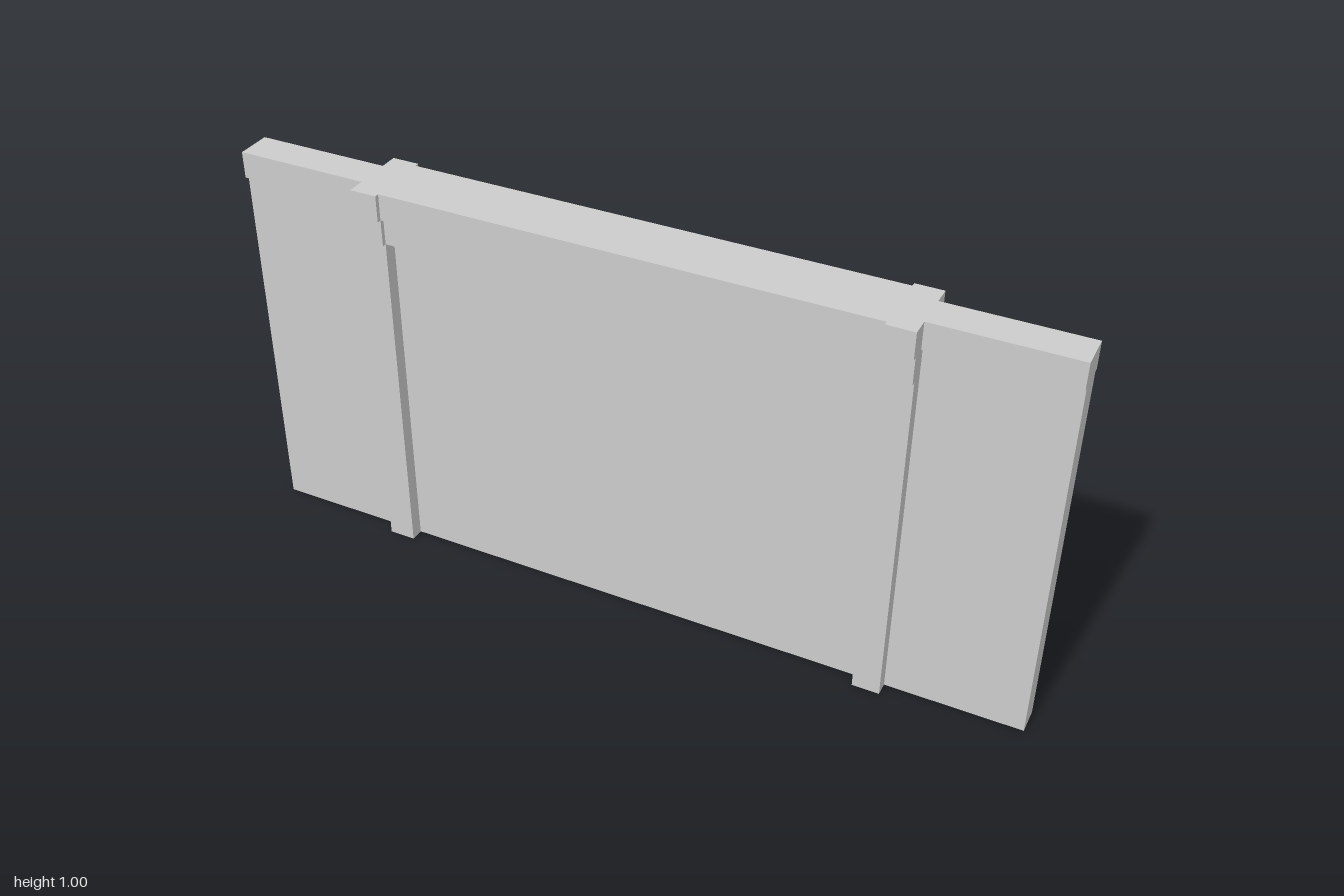
import * as THREE from 'three';

const material = new THREE.MeshStandardMaterial({ color: 0xcccccc, flatShading: true });

// Extrudes a stepped wall profile along x; steps are [halfDepth, bottom, top] from the ground up
function wallSection(name, x0, x1, steps) {
  const right = steps.flatMap(([d, y0, y1]) => [[d, y0], [d, y1]]);
  const left = right.map(([d, y]) => [-d, y]).reverse();
  const shape = new THREE.Shape([...right, ...left].map(([d, y]) => new THREE.Vector2(d, y)));
  const geometry = new THREE.ExtrudeGeometry(shape, { depth: x1 - x0, bevelEnabled: false });
  geometry.rotateY(Math.PI / 2).translate(x0, 0, 0);
  const mesh = new THREE.Mesh(geometry, material);
  mesh.name = name;
  return mesh;
}

export function createModel() {
  const group = new THREE.Group();
  group.name = 'wall';

  const end = 1, outer = 0.667, inner = 0.6;   // x of wall end and pilaster sides
  const step1 = 0.867, step2 = 0.934, top = 1; // heights of the coping steps

  const panel = [[0.033, 0, step2], [0.044, step2, top]];
  const pilaster = [[0.067, 0, step1], [0.078, step1, step2], [0.089, step2, top]];
  const centre = [[0.033, 0, step1], [0.067, step1, step2], [0.078, step2, top]];

  // Centre panel with its two-step coping
  group.add(wallSection('centrePanel', -inner, inner, centre));

  // Pilasters and lower-relief end panels on both sides
  group.add(wallSection('leftPilaster', inner, outer, pilaster));
  group.add(wallSection('rightPilaster', -outer, -inner, pilaster));
  group.add(wallSection('leftEndPanel', outer, end, panel));
  group.add(wallSection('rightEndPanel', -end, -outer, panel));

  return group;
}
